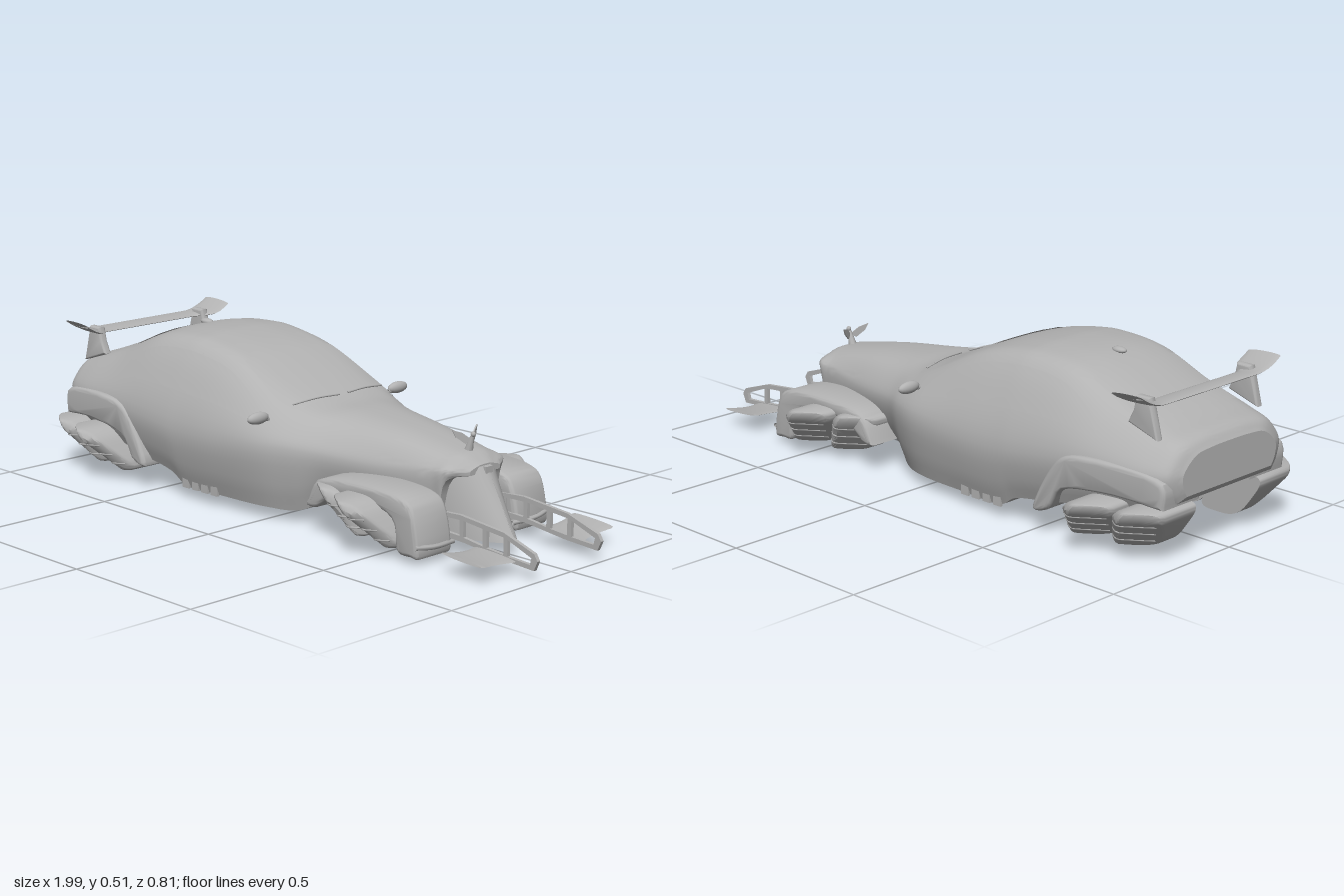
import * as THREE from 'three';
import { toCreasedNormals } from 'three/addons/utils/BufferGeometryUtils.js';

const V = (x, y, z) => new THREE.Vector3(x, y, z);
const grey = new THREE.MeshStandardMaterial({ color: 0xb2b2b2, side: THREE.DoubleSide });
grey.name = 'bodyGrey';

// Surface from fn(i, j) over a grid of nu x nv cells
function grid(fn, nu, nv, crease = 0.7) {
  const pos = [], idx = [];
  for (let i = 0; i <= nu; i++) for (let j = 0; j <= nv; j++) pos.push(...fn(i, j).toArray());
  for (let i = 0; i < nu; i++) for (let j = 0; j < nv; j++) {
    const a = i * (nv + 1) + j, b = a + nv + 1;
    idx.push(a, b, a + 1, b, b + 1, a + 1);
  }
  const g = new THREE.BufferGeometry();
  g.setAttribute('position', new THREE.Float32BufferAttribute(pos, 3));
  g.setIndex(idx);
  return toCreasedNormals(g.toNonIndexed(), crease);
}

// Side profile (x, y) extruded across z
function slab(pts, z0, z1, bevel = 0, holes = []) {
  const shape = new THREE.Shape(pts.map(p => new THREE.Vector2(...p)));
  holes.forEach(h => shape.holes.push(new THREE.Path(h.map(p => new THREE.Vector2(...p)))));
  const g = new THREE.ExtrudeGeometry(shape, {
    depth: z1 - z0 - 2 * bevel, bevelEnabled: bevel > 0, bevelThickness: bevel,
    bevelSize: bevel, bevelOffset: -bevel, bevelSegments: 4,
  });
  return toCreasedNormals(g.translate(0, 0, z0 + bevel), 0.6);
}

const smooth = (pts, n) => new THREE.SplineCurve(pts.map(p => new THREE.Vector2(...p))).getPoints(n).map(p => p.toArray());
const tube = (pts, r) => new THREE.TubeGeometry(new THREE.CatmullRomCurve3(pts), 16, r, 6);

// Body stations: x, roof y, shoulder half-width, shoulder y, widest half-width, its y, floor half-width, floor y
const stations = [
  [-0.995, 0.325, 0.15, 0.315, 0.21, 0.26, 0.19, 0.19],
  [-0.97, 0.355, 0.19, 0.337, 0.255, 0.26, 0.22, 0.165],
  [-0.9, 0.376, 0.2, 0.358, 0.283, 0.26, 0.25, 0.15],
  [-0.75, 0.43, 0.2, 0.405, 0.305, 0.26, 0.27, 0.125],
  [-0.57, 0.5, 0.2, 0.474, 0.316, 0.25, 0.28, 0.09],
  [-0.42, 0.512, 0.2, 0.488, 0.322, 0.235, 0.285, 0.065],
  [-0.36, 0.508, 0.2, 0.485, 0.322, 0.23, 0.28, 0.03],
  [-0.2, 0.475, 0.2, 0.455, 0.32, 0.23, 0.28, 0.03],
  [0, 0.387, 0.205, 0.366, 0.303, 0.24, 0.265, 0.03],
  [0.1, 0.353, 0.185, 0.332, 0.27, 0.24, 0.225, 0.03],
  [0.2, 0.344, 0.15, 0.318, 0.222, 0.23, 0.17, 0.07],
  [0.4, 0.322, 0.115, 0.3, 0.168, 0.22, 0.13, 0.08],
  [0.57, 0.292, 0.09, 0.277, 0.134, 0.235, 0.115, 0.05],
  [0.62, 0.281, 0.08, 0.268, 0.127, 0.245, 0.12, 0.205],
  [0.665, 0.255, 0.04, 0.25, 0.065, 0.24, 0.06, 0.22],
];
const N = stations.length - 1;
const section = ([x, T, R, ys, W, yW, B, yB]) => [
  V(x, T, 0), V(x, T - 0.2 * (T - ys), R * 0.58), V(x, ys, R),
  V(x, ys + 0.5 * (yW - ys), R + 0.68 * (W - R)), V(x, yW, W),
  V(x, yW + 0.55 * (yB - yW), W + 0.35 * (B - W)), V(x, yB + 0.01, B),
];
const columns = section(stations[0]).map((_, k) => new THREE.CatmullRomCurve3(stations.map(s => section(s)[k])));

// Point on the body: u runs rear to nose, k runs from the roof centre (0) to a sill (+-6)
function surf(u, k) {
  const half = columns.map(c => c.getPoint(u));
  const other = half.slice(1).reverse().map(p => V(p.x, p.y, -p.z));
  return new THREE.CatmullRomCurve3([...other, ...half]).getPoint((k + 6) / 12);
}
function uAt(x) {
  let i = 0;
  while (i < N - 1 && stations[i + 1][0] < x) i++;
  return (i + (x - stations[i][0]) / (stations[i + 1][0] - stations[i][0])) / N;
}
// Thin panel lying on the body; the k limits may vary along the panel
function patch(x0, x1, kLo, kHi, lift = 0.003, nu = 12, nv = 10) {
  return grid((i, j) => {
    const s = i / nu, u = uAt(x0 + (x1 - x0) * s), k = kLo(s) + (kHi(s) - kLo(s)) * j / nv;
    const p = surf(u, k), e = 0.004;
    const n = surf(u, k + e).sub(surf(u, k - e)).cross(surf(u + e, k).sub(surf(u - e, k))).normalize();
    if (n.dot(V(0, p.y - 0.2, p.z)) < 0) n.negate();
    return p.addScaledVector(n, lift);
  }, nu, nv);
}

export function createModel() {
  const model = new THREE.Group();
  const add = (name, geo, parent = model) => {
    const m = new THREE.Mesh(geo, grey);
    m.name = name;
    parent.add(m);
    return m;
  };

  // Shell, floor and end panels
  const nu = 84, nv = 48;
  add('bodyShell', grid((i, j) => surf(i / nu, -6 + 12 * j / nv), nu, nv, 0.9));
  add('floor', grid((i, j) => { const p = surf(i / nu, 6); return V(p.x, p.y, p.z * (j - 1)); }, nu, 2));
  for (const [name, u] of [['tailPanel', 0], ['nosePanel', 1]])
    add(name, grid((i, j) => { const p = surf(u, j / 4); p.z *= i - 1; return p; }, 2, 24));

  // Pointed prow grille
  const prowRows = [0.25, 0.25, 0.2, 0.15, 0.1, 0.04, 0.04];
  add('prowGrille', grid((i, j) => {
    const y = prowRows[i], tip = 0.672 + (0.25 - y) * 0.56;
    if (i === 0 || i === 6) return V(0.6, y, 0);
    const w = 0.11 + 0.016 * (y - 0.04) / 0.21, a = (j - 8) / 8;
    return V(0.565 + (tip - 0.565) * (1 - Math.pow(Math.abs(a), 1.8)), y, w * a);
  }, 6, 16, 0.4));
  add('grilleSpine', tube([V(0.67, 0.25, 0), V(0.73, 0.145, 0), V(0.788, 0.045, 0)], 0.0015));
  add('grilleClasp', new THREE.BoxGeometry(0.02, 0.02, 0.03).translate(0.672, 0.24, 0));

  // Glass panels and trim lying on the shell
  add('windshield', patch(-0.18, 0.07, t => -1.8 - 0.35 * t, t => 1.8 + 0.35 * t));
  add('rearWindow', patch(-0.86, -0.63, () => -1.75, () => 1.75));
  add('roofBump', new THREE.SphereGeometry(0.02, 16, 10).scale(1.3, 0.5, 0.8).translate(-0.57, 0.503, 0));

  // Hood mascot: a small winged figure
  const mascot = new THREE.Group();
  mascot.name = 'hoodMascot';
  model.add(mascot);
  add('mascotBody', new THREE.CylinderGeometry(0.006, 0.014, 0.05, 10).rotateZ(-0.3).translate(0.605, 0.305, 0), mascot);
  add('mascotHead', new THREE.SphereGeometry(0.008, 10, 8).translate(0.616, 0.335, 0), mascot);

  for (const s of [1, -1]) {
    const side = new THREE.Group();
    side.name = s > 0 ? 'leftSide' : 'rightSide';
    side.scale.z = s;
    model.add(side);
    const put = (name, geo) => add(name, geo, side);

    put('mascotWing', slab([[0, 0], [0.03, 0.022], [0.062, 0.032], [0.05, 0.01], [0.02, -0.012]], -0.002, 0.002)
      .rotateY(-Math.PI / 2 - 0.5).translate(0.61, 0.318, 0));
    put('sideWindow', patch(-0.72, -0.02, t => 2.25 + 0.5 * Math.pow(Math.abs(2 * t - 1), 4), () => 3.1, 0.003, 24, 6));
    for (const x of [-0.33, 0.04]) put('doorSeam', patch(x, x + 0.004, () => 2.2, () => 5.8, 0.002, 1, 16));
    put('wiper', tube([0.15, 0.9, 1.9].map(k => surf(uAt(0.07 - 0.015 * k), k).add(V(0.003, 0.006, 0))), 0.003));

    // Door mirror
    put('mirror', new THREE.SphereGeometry(1, 18, 12).scale(0.016, 0.019, 0.042).translate(0.01, 0.328, 0.303));
    put('mirrorStalk', tube([V(0.01, 0.32, 0.26), V(0.01, 0.322, 0.3)], 0.007));

    // Rear fender flare, narrowing toward the tail
    const flare = slab(smooth([[-0.975, 0.17], [-0.965, 0.255], [-0.8, 0.28], [-0.66, 0.272], [-0.59, 0.22], [-0.52, 0.085],
      [-0.58, 0.09], [-0.64, 0.165], [-0.8, 0.185], [-0.975, 0.17]], 40), 0.15, 0.322, 0.014);
    const fp = flare.attributes.position;
    for (let i = 0; i < fp.count; i++) fp.setZ(i, fp.getZ(i) - Math.max(0, -0.72 - fp.getX(i)) * 0.18);
    put('rearFender', flare);

    // Front fender with its curved leading fairing, carried on a bracket
    put('frontFender', slab(smooth([[0.2, 0.09], [0.235, 0.165], [0.3, 0.192], [0.45, 0.2], [0.59, 0.19], [0.645, 0.15], [0.668, 0.03],
      [0.63, 0.02], [0.58, 0.03], [0.56, 0.12], [0.45, 0.15], [0.32, 0.14], [0.24, 0.09], [0.2, 0.09]], 56), 0.14, 0.288, 0.014));
    put('fenderBracket', new THREE.BoxGeometry(0.14, 0.05, 0.06).translate(0.51, 0.14, 0.125));
    put('fairingFin', slab([[0.59, 0.05], [0.61, 0], [0.64, 0.005], [0.655, 0.05]], 0.136, 0.144));
    put('fairingBar', tube([V(0.66, 0.045, 0.13), V(0.675, 0.05, 0.22), V(0.66, 0.055, 0.288)], 0.008));

    // Slanted thruster pods, two at each corner
    for (const [x0, zTop, zLow, place] of [[-0.885, 0.36, 0.27, 'rear'], [-0.737, 0.405, 0.29, 'rear'],
      [0.325, 0.325, 0.268, 'front'], [0.472, 0.395, 0.29, 'front']]) {
      const at = (sx, sy, inset = 0) => V(x0 + 0.078 * sx - 0.05 * sy, 0.102 + 0.072 * sy,
        zLow + (zTop - zLow) * Math.min(1, (sy + 1) / 1.55) - 0.06 * Math.sqrt((sx - 0.35) ** 2 + 0.01) - inset + 0.006);
      const scales = [0, 1, 1, 0.96, 0.9, 0.7, 0.5, 0.25, 0];
      put(place + 'Pod', grid((i, j) => {
        const a = j / 48 * Math.PI * 2, c = Math.cos(a), d = Math.sin(a), r = scales[i];
        const p = at(Math.sign(c) * Math.pow(Math.abs(c), 0.55) * r, Math.sign(d) * Math.pow(Math.abs(d), 0.55) * r,
          i === 2 ? 0.012 : i === 3 ? 0.003 : 0);
        if (i < 2) p.z = 0.145;
        return p;
      }, 8, 48, 0.6));
      for (const sy of [-0.6, -0.15, 0.3])
        put(place + 'PodSlat', tube([-0.8, -0.4, 0, 0.35, 0.8].map(sx => at(sx, sy, 0.001)), 0.003));
    }

    // Side sill louvres
    for (let i = 0; i < 4; i++)
      put('sillLouvre', new THREE.BoxGeometry(0.03, 0.04, 0.01).translate(-0.35 + i * 0.045, 0.055, 0.284));

    // Front wing: pierced rail and curved blade
    put('wingRail', slab([[0.6, 0.13], [0.7, 0.135], [0.87, 0.118], [0.985, 0.08], [0.998, 0.06], [0.985, 0.03], [0.86, 0.038], [0.72, 0.055], [0.6, 0.06]],
      0.134, 0.146, 0, [
        [[0.63, 0.075], [0.7, 0.072], [0.7, 0.12], [0.63, 0.118]],
        [[0.715, 0.07], [0.79, 0.06], [0.79, 0.112], [0.715, 0.12]],
        [[0.805, 0.058], [0.87, 0.052], [0.87, 0.104], [0.805, 0.11]],
        [[0.885, 0.05], [0.97, 0.045], [0.975, 0.066], [0.885, 0.1]]]));
    put('wingBlade', grid((i, j) => {
      const t = i / 12, a = j / 16 * Math.PI * 2, w = 0.068 + 0.016 * Math.pow(2 * t - 1, 2);
      const c = Math.cos(a), r = i === 0 || i === 12 ? 0.9 : 1;
      return V(0.84 + w * c * r, 0.047 + 0.014 * t * t - 0.005 * c + 0.005 * Math.sin(a), 0.14 + 0.15 * t);
    }, 12, 16));

    // Spoiler pylon
    put('spoilerPylon', slab([[-0.92, 0.355], [-0.81, 0.39], [-0.83, 0.43], [-0.84, 0.475], [-0.89, 0.475]], 0.21, 0.238, 0.008));
  }

  // Rear spoiler with upswept tips
  add('spoiler', grid((i, j) => {
    const t = i / 32 * 2 - 1, a = j / 16 * Math.PI * 2, e = Math.max(0, Math.abs(t) - 0.65) / 0.35;
    const w = 0.034 + 0.026 * Math.min(1, e * 2);
    return V(-0.89 + 0.022 * Math.min(1, e * 2) + w * Math.cos(a), 0.456 + 0.035 * e * e + 0.006 * Math.sin(a) - 0.003 * Math.cos(a), 0.305 * t);
  }, 32, 16));

  // Cross ribs beneath the nose
  for (let i = 0; i < 6; i++)
    add('noseRib', new THREE.BoxGeometry(0.012, 0.025, 0.21).translate(0.32 + i * 0.055, 0.06 - i * 0.003, 0));
  return model;
}
